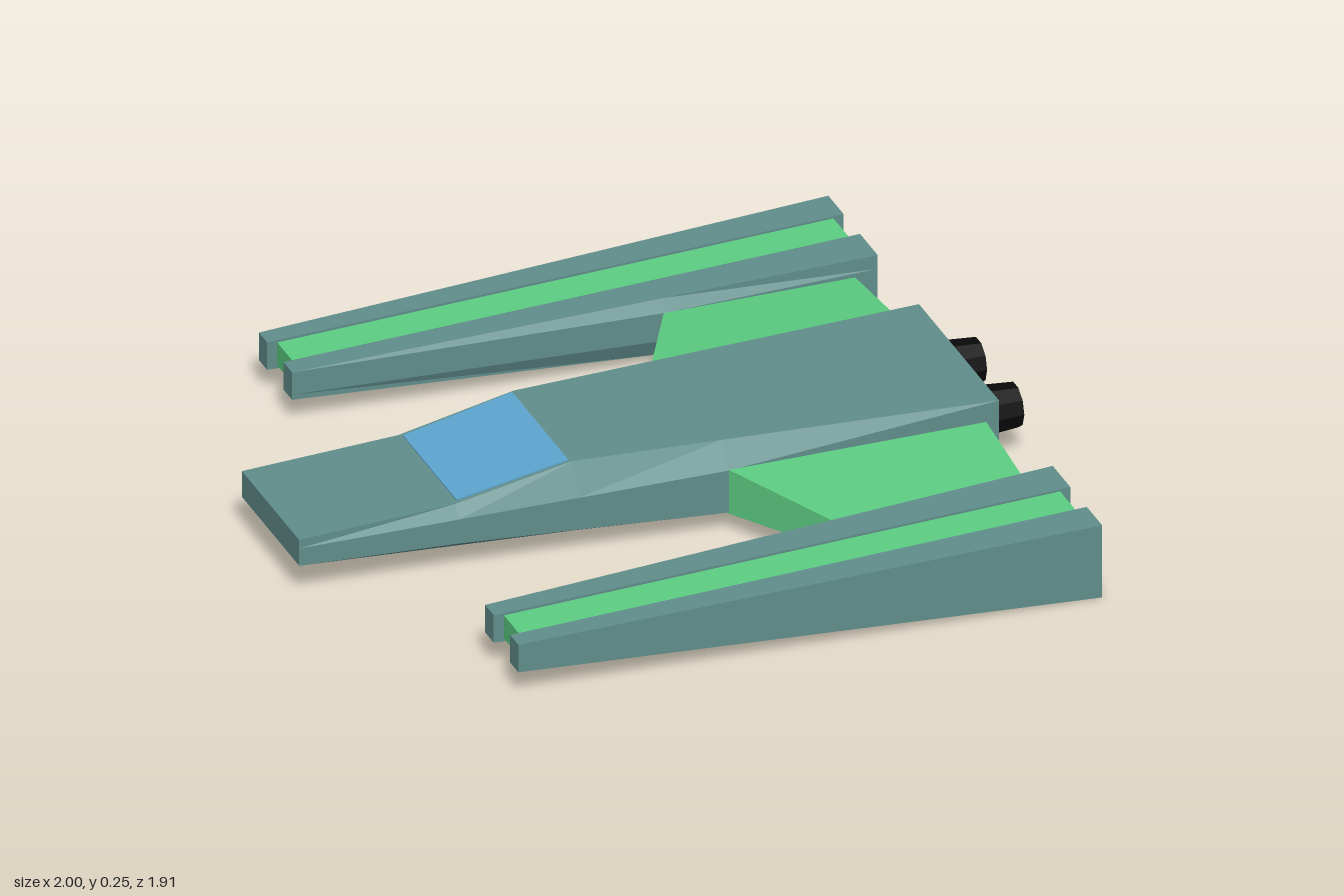
import * as THREE from 'three';

const mat = (name, color) => {
  const m = new THREE.MeshStandardMaterial({ color });
  m.name = name;
  return m;
};

// Skin a series of rings (ordered nose to tail) and cap both ends, with flat facets.
function loft(rings, flip = false) {
  const pos = [];
  const tri = (a, b, c) => pos.push(...a, ...(flip ? c : b), ...(flip ? b : c));
  const n = rings[0].length;
  for (let r = 0; r < rings.length - 1; r++) {
    const A = rings[r], B = rings[r + 1];
    for (let i = 0; i < n; i++) {
      const j = (i + 1) % n;
      tri(A[i], B[i], B[j]);
      tri(A[i], B[j], A[j]);
    }
  }
  const first = rings[0], last = rings[rings.length - 1];
  for (let i = 1; i < n - 1; i++) {
    tri(first[0], first[i], first[i + 1]);
    tri(last[0], last[i + 1], last[i]);
  }
  const g = new THREE.BufferGeometry();
  g.setAttribute('position', new THREE.Float32BufferAttribute(pos, 3));
  g.computeVertexNormals();
  return g;
}

// Full ring from the +z half, listed bottom to top as [y, z].
const mirrored = (x, half) => [
  ...half.map(([y, z]) => [x, y, z]),
  ...half.slice().reverse().map(([y, z]) => [x, y, -z]),
];

export function createModel() {
  const group = new THREE.Group();
  const hull = mat('hullTeal', 0x618e8c);
  const green = mat('wingGreen', 0x5ccd82);
  const glass = mat('canopyBlue', 0x5ca5d0);
  const black = mat('engineBlack', 0x0a0a0a);
  const add = (name, geometry, material, parent = group) => {
    const m = new THREE.Mesh(geometry, material);
    m.name = name;
    parent.add(m);
    return m;
  };

  // Fuselage: wedge nose, sloped canopy step, sides swelling to the wing roots
  add('fuselage', loft([
    mirrored(-1, [[0.09, 0.2], [0.1, 0.2], [0.14, 0.2], [0.165, 0.2]]),
    mirrored(-0.57, [[0.074, 0.218], [0.085, 0.23], [0.155, 0.23], [0.185, 0.2]]),
    mirrored(-0.25, [[0.062, 0.232], [0.073, 0.251], [0.165, 0.251], [0.249, 0.205]]),
    mirrored(0.15, [[0.047, 0.249], [0.058, 0.28], [0.18, 0.28], [0.245, 0.231]]),
    mirrored(0.895, [[0.02, 0.28], [0.035, 0.28], [0.21, 0.28], [0.237, 0.28]]),
  ]), hull);

  // Canopy: thin pane on the sloped step
  add('canopy', loft([
    mirrored(-0.562, [[0.184, 0.187], [0.19, 0.187]]),
    mirrored(-0.258, [[0.245, 0.196], [0.251, 0.196]]),
  ]), glass);

  for (const s of [1, -1]) {
    const side = new THREE.Group();
    side.name = s > 0 ? 'frontSide' : 'backSide';
    group.add(side);
    const build = (name, rings, material) =>
      add(name, loft(rings.map(r => r.map(([x, y, z]) => [x, y, z * s])), s < 0), material, side);

    // Wing: swept leading edge, thinner toward the pod
    const wingEnd = (xIn, xOut) => [
      [xOut, 0.077, 0.615], [xOut, 0.157, 0.615], [xIn, 0.182, 0.277], [xIn, 0.054, 0.277],
    ];
    build('wing', [wingEnd(0.15, 0.325), wingEnd(0.86, 0.85)], green);

    // Inner pod plate, swelling where the wing meets it
    const inner = (x, b, l, h, t, zEdge, zMid) => [
      [x, b, 0.735], [x, t, 0.735], [x, t, zEdge], [x, h, zMid], [x, l, zMid], [x, b, zEdge],
    ];
    build('innerPodPlate', [
      inner(-0.675, 0.07, 0.085, 0.135, 0.15, 0.675, 0.675),
      inner(0.33, 0.026, 0.077, 0.157, 0.188, 0.635, 0.612),
      inner(0.912, 0.002, 0.05, 0.17, 0.21, 0.612, 0.612),
    ], hull);

    // Plain tapered bars: pod core and outer plate
    const bar = (x, b, t, z0, z1) => [[x, b, z1], [x, t, z1], [x, t, z0], [x, b, z0]];
    build('podCore', [bar(-0.647, 0.077, 0.144, 0.73, 0.855), bar(0.884, 0.01, 0.203, 0.73, 0.855)], green);
    build('outerPodPlate', [bar(-0.675, 0.07, 0.15, 0.85, 0.907), bar(0.912, 0, 0.21, 0.85, 0.957)], hull);

    // Engine nozzle: short tapered ten-sided barrel
    const nozzle = new THREE.CylinderGeometry(0.06, 0.069, 0.11, 10).toNonIndexed();
    nozzle.rotateZ(-Math.PI / 2);
    nozzle.computeVertexNormals();
    add('engineNozzle', nozzle, black, side).position.set(0.945, 0.13, 0.13 * s);
  }

  return group;
}
